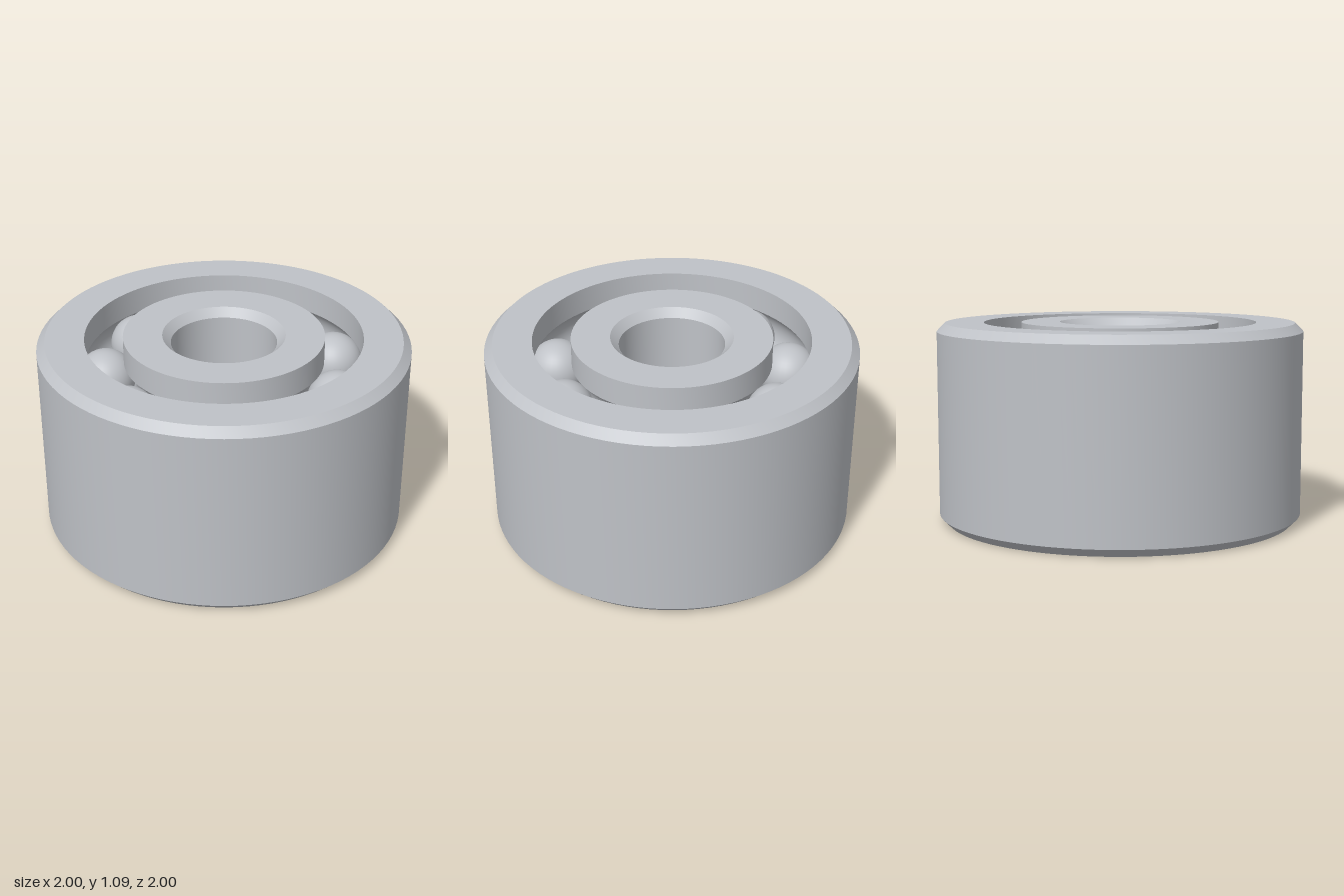
import * as THREE from 'three';
import { toCreasedNormals } from 'three/addons/utils/BufferGeometryUtils.js';

const H = 1.09, CHAMFER = 0.045;
const PITCH = 0.6425, HALF_GAP = 0.1025;   // ball circle and half the space between the rings
const BALL_R = 0.16, GROOVE_R = 0.163, BALLS = 9;
const ROWS = [H / 4, H * 3 / 4];

// Arc of a ball groove: side +1 cuts into the outer ring (drawn downwards),
// side -1 cuts into the inner ring (drawn upwards)
function groove(y, side, steps = 14) {
  const half = Math.acos(HALF_GAP / GROOVE_R);
  return Array.from({ length: steps + 1 }, (_, i) => {
    const a = half * (1 - 2 * i / steps);
    return [PITCH + side * GROOVE_R * Math.cos(a), y + side * GROOVE_R * Math.sin(a)];
  });
}

// Closed profile, counter-clockwise in (radius, height), turned about y
function ring(name, profile, material) {
  const points = [...profile, profile[0]].map(([r, y]) => new THREE.Vector2(r, y));
  const mesh = new THREE.Mesh(toCreasedNormals(new THREE.LatheGeometry(points, 96), 0.4), material);
  mesh.name = name;
  return mesh;
}

export function createModel() {
  const model = new THREE.Group();
  model.name = 'ballBearing';
  const steel = new THREE.MeshStandardMaterial({ color: 0xbfc2c7 });
  steel.name = 'steel';

  // Outer ring with chamfered rims and two grooves inside
  const outerBore = PITCH + HALF_GAP;
  model.add(ring('outerRing', [
    [1 - CHAMFER, 0], [1, CHAMFER], [1, H - CHAMFER], [1 - CHAMFER, H],
    [outerBore, H], ...groove(ROWS[1], 1), ...groove(ROWS[0], 1), [outerBore, 0],
  ], steel));

  // Inner ring with chamfered bore and two grooves outside
  const bore = 0.285, shoulder = PITCH - HALF_GAP;
  model.add(ring('innerRing', [
    [bore + CHAMFER, 0], [shoulder, 0], ...groove(ROWS[0], -1), ...groove(ROWS[1], -1),
    [shoulder, H], [bore + CHAMFER, H], [bore, H - CHAMFER], [bore, CHAMFER],
  ], steel));

  // Two rows of balls
  const ballGeometry = new THREE.SphereGeometry(BALL_R, 32, 24);
  ROWS.forEach((y, row) => {
    const balls = new THREE.Group();
    balls.name = row ? 'upperBalls' : 'lowerBalls';
    for (let i = 0; i < BALLS; i++) {
      const a = i / BALLS * Math.PI * 2;
      const ball = new THREE.Mesh(ballGeometry, steel);
      ball.name = 'ball';
      ball.position.set(PITCH * Math.cos(a), y, PITCH * Math.sin(a));
      balls.add(ball);
    }
    model.add(balls);
  });
  return model;
}
